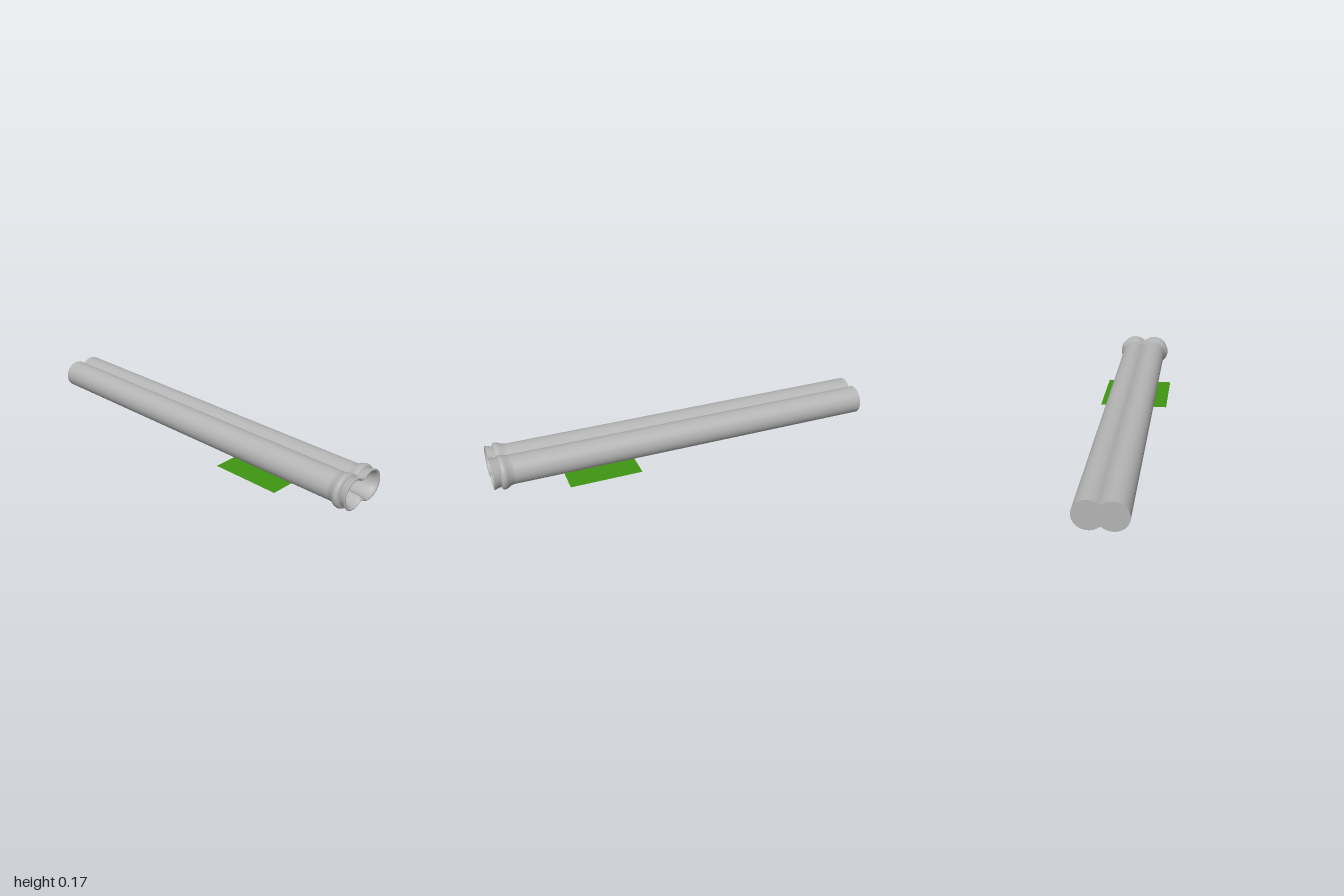
import * as THREE from 'three';

const CY = 0.086;      // height of the bore axes
const SEG = 40;        // steps around one lobe
const SWEEP = 130 * Math.PI / 180;

// One lobe of the figure-eight section: lower notch, round the outside, upper notch.
// c = lobe centre, r = lobe radius, n = half height of the notch on the middle plane.
function lobe(c, r, n) {
  const pts = [[0, -n]];
  for (let i = 0; i <= SEG; i++) {
    const a = -SWEEP + (2 * SWEEP * i) / SEG;
    pts.push([c + r * Math.cos(a), r * Math.sin(a)]);
  }
  pts.push([0, n]);
  return pts;
}

// Skin one half through sections [z, c, r, n]; the halves meet in a sharp crease.
function halfSkin(sections, side) {
  const pos = [], index = [];
  for (const [z, c, r, n] of sections) {
    for (const [x, y] of lobe(c, r, n)) pos.push(side * x, y + CY, z);
  }
  const w = SEG + 3;
  for (let j = 0; j < sections.length - 1; j++) {
    for (let i = 0; i < w - 1; i++) {
      const a = j * w + i, b = a + 1, d = a + w, e = d + 1;
      if (side > 0) index.push(a, b, d, b, e, d);
      else index.push(a, d, b, b, d, e);
    }
  }
  const g = new THREE.BufferGeometry();
  g.setAttribute('position', new THREE.Float32BufferAttribute(pos, 3));
  g.setIndex(index);
  g.computeVertexNormals();
  return g;
}

export function createModel() {
  const metal = new THREE.MeshStandardMaterial({ color: 0xb4b4b4, side: THREE.DoubleSide });
  metal.name = 'grey metal';
  const green = new THREE.MeshStandardMaterial({ color: 0x3f9412, side: THREE.DoubleSide });
  green.name = 'green';

  const model = new THREE.Group();
  model.name = 'doubleBarrel';

  const add = (name, sections) => {
    const part = new THREE.Group();
    part.name = name;
    for (const side of [1, -1]) {
      const mesh = new THREE.Mesh(halfSkin(sections, side), metal);
      mesh.name = name + (side > 0 ? 'Left' : 'Right');
      part.add(mesh);
    }
    model.add(part);
  };

  // Long twin tube
  const tube = [0.053, 0.072, 0.051];
  add('barrel', [[-1, ...tube], [0.9, ...tube]]);

  // Flared bead behind the muzzle
  add('bead', [
    [0.90, ...tube],
    [0.915, 0.055, 0.0735, 0.052],
    [0.928, 0.059, 0.078, 0.056],
    [0.938, 0.061, 0.082, 0.059],
    [0.948, 0.062, 0.083, 0.060],
    [0.957, 0.061, 0.081, 0.059],
    [0.962, 0.058, 0.076, 0.055],
    [0.964, 0.055, 0.070, 0.051],
  ]);

  // Flared muzzle lip
  add('muzzleLip', [
    [0.964, 0.055, 0.070, 0.051],
    [0.975, 0.057, 0.072, 0.053],
    [0.988, 0.059, 0.075, 0.056],
    [0.996, 0.060, 0.077, 0.057],
  ]);

  // Rounded rim curling into the bore
  add('muzzleRim', [
    [0.996, 0.060, 0.077, 0.057],
    [0.999, 0.060, 0.075, 0.055],
    [1.0, 0.059, 0.071, 0.051],
    [0.996, 0.057, 0.066, 0.045],
    [0.985, 0.055, 0.062, 0.040],
    [0.965, 0.053, 0.059, 0.037],
    [0.93, 0.052, 0.057, 0.035],
    [0.86, 0.052, 0.057, 0.035],
  ]);

  // Flat wall closing the rear end
  const ring = lobe(...tube);
  const outline = [
    ...ring.map(([x, y]) => new THREE.Vector2(x, y)),
    ...ring.slice(1, -1).reverse().map(([x, y]) => new THREE.Vector2(-x, y)),
  ];
  const cap = new THREE.Mesh(new THREE.ShapeGeometry(new THREE.Shape(outline)), metal);
  cap.name = 'rearCap';
  cap.rotation.y = Math.PI;
  cap.position.set(0, CY, -1);
  model.add(cap);

  // Thin square plate under the barrel
  const plate = new THREE.Mesh(new THREE.PlaneGeometry(0.365, 0.365), green);
  plate.name = 'basePlate';
  plate.rotation.x = -Math.PI / 2;
  plate.position.set(0, 0, 0.467);
  model.add(plate);

  return model;
}
